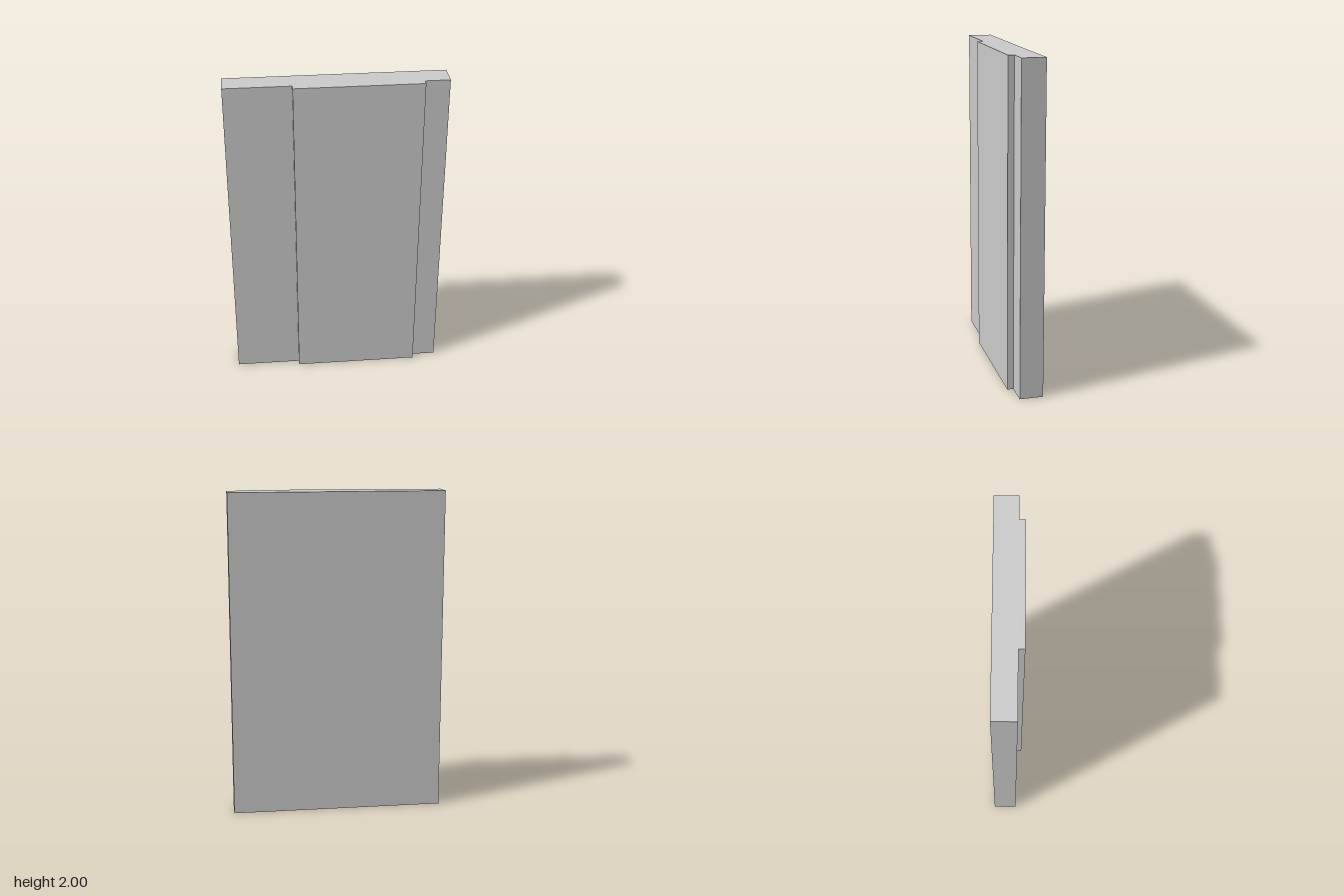
import * as THREE from 'three';

const HEIGHT = 2;
const HALF_WIDTH = 0.655;
const BACK = -0.09, STEP = 0.053, FRONT = 0.09;
const RAISED_RIGHT = -0.255, RAISED_LEFT = 0.507;

export function createModel() {
  const group = new THREE.Group();
  group.name = 'steppedPanel';

  // Plan outline as [x, z]: a flat slab with an off-centre raised front face
  const outline = [
    [-HALF_WIDTH, BACK], [-HALF_WIDTH, STEP],
    [RAISED_RIGHT, STEP], [RAISED_RIGHT, FRONT],
    [RAISED_LEFT, FRONT], [RAISED_LEFT, STEP],
    [HALF_WIDTH, STEP], [HALF_WIDTH, BACK],
  ];
  const shape = new THREE.Shape(outline.map(([x, z]) => new THREE.Vector2(x, -z)));

  // Extrude the plan upwards
  const geometry = new THREE.ExtrudeGeometry(shape, { depth: HEIGHT, bevelEnabled: false });
  geometry.rotateX(-Math.PI / 2);

  const panel = new THREE.Mesh(
    geometry,
    new THREE.MeshStandardMaterial({ color: 0xcccccc, flatShading: true })
  );
  panel.name = 'panel';
  group.add(panel);
  return group;
}
